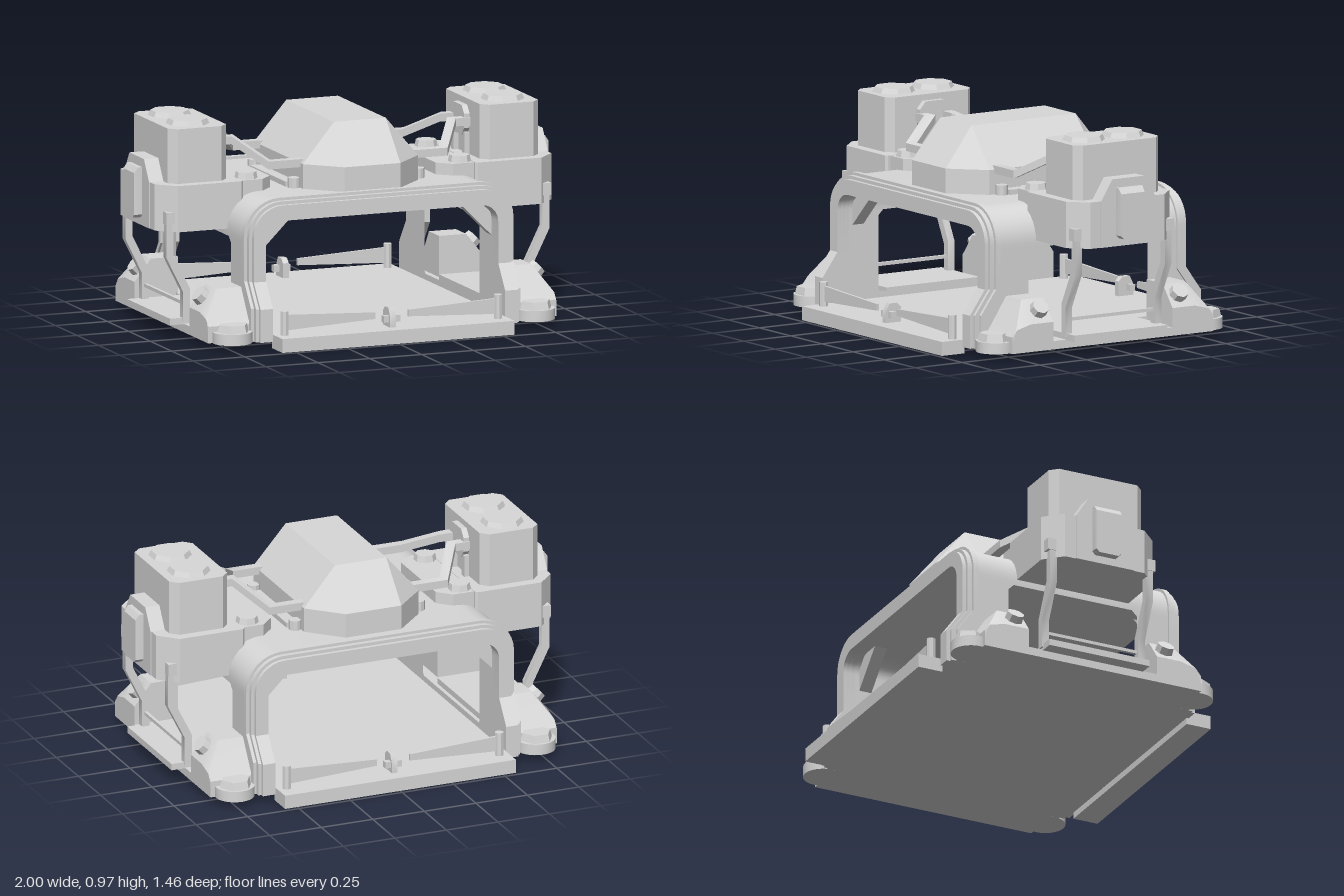
import * as THREE from 'three';
import { toCreasedNormals } from 'three/addons/utils/BufferGeometryUtils.js';

const grey = new THREE.MeshStandardMaterial({ color: 0xd8d8d8 });
grey.name = 'plain grey';

// Box given by its limits
function box(x0, x1, y0, y1, z0, z1) {
  return new THREE.BoxGeometry(x1 - x0, y1 - y0, z1 - z0)
    .translate((x0 + x1) / 2, (y0 + y1) / 2, (z0 + z1) / 2);
}

function extrude(points, depth, hole) {
  const v = (p) => new THREE.Vector2(p[0], p[1]);
  const shape = new THREE.Shape(points.map(v));
  if (hole) shape.holes.push(new THREE.Path(hole.map(v)));
  return new THREE.ExtrudeGeometry(shape, { depth, bevelEnabled: false });
}
// Prisms along z (x,y points), along x (z,y points) and along y (x,z points)
const prismZ = (pts, z0, z1) => extrude(pts, z1 - z0).translate(0, 0, z0);
const flip = (pts) => pts && pts.map(([z, y]) => [-z, y]);
const prismX = (pts, x0, x1, hole) =>
  extrude(flip(pts), x1 - x0, flip(hole)).rotateY(Math.PI / 2).translate(x0, 0, 0);
const prismY = (pts, y0, y1) => extrude(pts, y1 - y0).rotateX(Math.PI / 2).translate(0, y1, 0);

// Rectangle in x,z with cut corners
function cutRect(x0, x1, z, cIn, cOut) {
  return [[x0 + cIn, -z], [x1 - cOut, -z], [x1, -z + cOut], [x1, z - cOut],
    [x1 - cOut, z], [x0 + cIn, z], [x0, z - cIn], [x0, -z + cIn]];
}

// Skin over a row of equal closed sections, with both ends capped
function loft(sections) {
  const n = sections[0].length, index = [], last = (sections.length - 1) * n;
  for (let i = 0; i < sections.length - 1; i++) {
    for (let j = 0; j < n; j++) {
      const a = i * n + j, b = i * n + (j + 1) % n;
      index.push(a, b, a + n, b, b + n, a + n);
    }
  }
  for (let j = 1; j < n - 1; j++) {
    index.push(0, j + 1, j, last, last + j, last + j + 1);
  }
  const g = new THREE.BufferGeometry();
  g.setAttribute('position', new THREE.Float32BufferAttribute(sections.flat(2), 3));
  g.setIndex(index);
  return g;
}

// Arch line from the foot at +x over the crown to the foot at -x
function archLine(w, h, r, feet) {
  const half = feet.map((y) => [w, y]);
  for (let i = 0; i <= 8; i++) {
    const a = (i / 8) * Math.PI / 2;
    half.push([w - r + r * Math.cos(a), h - r + r * Math.sin(a)]);
  }
  return [...half, ...half.slice().reverse().map(([x, y]) => [-x, y])];
}

// Feet of the arch splay outward in z
const splay = (y) => 0.08 * THREE.MathUtils.clamp((0.29 - y) / 0.11, 0, 1);

function arch(w, h, z0, z1, feet) {
  const outer = archLine(w, h, w - 0.48, feet), inner = archLine(0.56, 0.56, 0.08, feet);
  return loft(outer.map(([x, y], i) => {
    const [u, v] = inner[i], s = splay(y);
    return [[x, y, z0 + s], [u, v, z0 + s], [u, v, z1 + s], [x, y, z1 + s]];
  }));
}

// Mirror copy with the corner order kept facing outward
function mirrored(geo, sx, sz) {
  const g = geo.clone().scale(sx, 1, sz);
  if (sx * sz < 0) {
    for (const name of ['position', 'normal']) {
      const a = g.attributes[name].array;
      for (let i = 0; i < a.length; i += 9) {
        for (let k = 0; k < 3; k++) [a[i + 3 + k], a[i + 6 + k]] = [a[i + 6 + k], a[i + 3 + k]];
      }
    }
  }
  return g;
}

export function createModel() {
  const model = new THREE.Group();
  // axes: '' once, 'x' left and right, 'z' front and back, 'xz' all four
  const add = (name, geo, axes = '') => {
    const g = toCreasedNormals(geo, 0.5);
    for (const sx of axes.includes('x') ? [1, -1] : [1]) {
      for (const sz of axes.includes('z') ? [1, -1] : [1]) {
        const mesh = new THREE.Mesh(mirrored(g, sx, sz), grey);
        mesh.name = name;
        model.add(mesh);
      }
    }
  };
  const bolt = (r, h, sides) => new THREE.CylinderGeometry(r * 0.88, r, h, sides, 1);

  // Floor with deeper end sills and barriers
  add('floorPlate', prismX([[-0.73, 0], [-0.61, 0], [-0.61, 0.03], [0.61, 0.03],
    [0.61, 0], [0.73, 0], [0.73, 0.063], [-0.73, 0.063]], -0.56, 0.56));
  add('barrierPost', new THREE.CylinderGeometry(0.02, 0.02, 0.11, 8).translate(0.515, 0.117, 0.645), 'xz');
  add('barrierArm', prismZ([[0.08, 0.105], [0.5, 0.085], [0.5, 0.155], [0.08, 0.135]], 0.64, 0.652), 'xz');
  add('latchBase', box(-0.04, 0.04, 0.085, 0.115, 0.628, 0.655), 'z');
  add('latch', prismX([[0.585, 0.06], [0.665, 0.06], [0.665, 0.11], [0.645, 0.15], [0.605, 0.15], [0.585, 0.13]],
    -0.014, 0.014), 'z');

  // Tunnel roof, side walls and stepped end frames
  add('tunnelRoof', arch(0.64, 0.645, -0.48, 0.48, [0.46]));
  add('sideWall', prismX(
    [[-0.48, 0.465], [-0.48, 0.29], [-0.56, 0.18], [-0.56, 0.03], [0.56, 0.03], [0.56, 0.18], [0.48, 0.29], [0.48, 0.465]],
    0.56, 0.64,
    [[-0.32, 0.1], [-0.31, 0.09], [0.31, 0.09], [0.32, 0.1], [0.32, 0.435], [0.295, 0.46], [-0.295, 0.46], [-0.32, 0.435]]), 'x');
  const feet = [0.03, 0.18, 0.29];
  add('endFrameOuter', arch(0.65, 0.658, 0.475, 0.5, feet), 'z');
  add('endFrameMiddle', arch(0.635, 0.645, 0.5, 0.522, feet), 'z');
  add('endFrameInner', arch(0.62, 0.63, 0.522, 0.54, feet), 'z');
  add('cornerGusset', prismZ([[0.4, 0.565], [0.565, 0.4], [0.565, 0.5], [0.5, 0.565]], 0.4, 0.46), 'xz');

  // Side bases with round feet and sloped blocks
  add('sideBase', box(0.56, 0.84, 0.03, 0.068, -0.54, 0.54), 'x');
  add('footPad', new THREE.CylinderGeometry(0.09, 0.09, 0.05, 28).translate(0.73, 0.055, 0.555), 'xz');
  add('footBolt', bolt(0.075, 0.035, 6).rotateY(Math.PI / 6).translate(0.73, 0.0975, 0.565), 'xz');
  // Block whose outer shoulder and end face both slope down to the base
  const blockSection = (z, yTop, yOut, xTop) =>
    [[0.63, 0.05, z], [0.84, 0.05, z], [0.84, yOut, z], [xTop, yTop, z], [0.63, yTop, z]];
  add('slopedBlock', loft([
    blockSection(0.32, 0.255, 0.155, 0.76), blockSection(0.44, 0.255, 0.155, 0.76),
    blockSection(0.515, 0.14, 0.135, 0.835), blockSection(0.54, 0.105, 0.1, 0.839)]), 'xz');
  add('slopeBolt', bolt(0.045, 0.05, 8).rotateZ(-0.84).translate(0.803, 0.213, 0.375), 'xz');
  add('stepSlab', box(0.6, 0.905, 0.065, 0.095, -0.25, 0.25), 'x');

  // Bent struts below the housings
  add('strut', prismZ([[0.89, 0.58], [0.89, 0.385], [0.81, 0.225], [0.81, 0.08],
    [0.845, 0.08], [0.845, 0.215], [0.925, 0.375], [0.925, 0.58]], 0.222, 0.257), 'xz');
  add('strutClamp', box(0.885, 0.928, 0.525, 0.58, 0.212, 0.268), 'xz');
  add('strutRod', box(0.82, 0.835, 0.15, 0.165, -0.23, 0.23), 'x');

  // Side housings, tanks and caps
  add('housing', prismY(cutRect(0.56, 0.957, 0.278, 0.01, 0.08), 0.49, 0.7), 'x');
  add('outerPanel', prismX([[-0.145, 0.49], [0.145, 0.49], [0.145, 0.7], [0.085, 0.795], [-0.085, 0.795], [-0.145, 0.7]],
    0.87, 0.962), 'x');
  add('sideHandle', loft([[0.95, 0.065, 0.755], [0.982, 0.065, 0.755], [1, 0.062, 0.73]].map(([x, z, top]) =>
    [[x, 0.54, z], [x, 0.525, z - 0.015], [x, 0.525, 0.015 - z], [x, 0.54, -z], [x, top, -z], [x, top, z]])), 'x');
  add('tank', prismY(cutRect(0.612, 0.893, 0.23, 0.035, 0.035), 0.69, 0.948), 'x');
  add('tankCap', bolt(0.098, 0.024, 8).rotateY(Math.PI / 8).translate(0.76, 0.959, 0.105), 'xz');
  add('mountPlate', prismY(cutRect(0.4, 0.66, 0.255, 0.06, 0.01), 0.6, 0.698), 'x');
  add('mountBolt', bolt(0.052, 0.03, 8).rotateY(Math.PI / 8).translate(0.515, 0.712, 0.195), 'xz');

  // Faceted central hood
  const ring = (x, z, xc, zc, y) => [[xc, y, z], [x, y, zc], [x, y, -zc], [xc, y, -z],
    [-xc, y, -z], [-x, y, -zc], [-x, y, zc], [-xc, y, z]];
  add('hood', loft([ring(0.278, 0.425, 0.135, 0.285, 0.62), ring(0.278, 0.425, 0.135, 0.285, 0.757),
    ring(0.125, 0.28, 0.124, 0.279, 0.937)]));
  add('hoodSkirt', box(-0.33, 0.33, 0.63, 0.668, -0.21, 0.21));
  add('hoodLug', new THREE.CylinderGeometry(0.028, 0.028, 0.05, 10).translate(0.3, 0.665, 0.235), 'xz');

  // Flat bent pipes from hood to tanks: x, y, z and the mitre offset in x
  add('pipe', loft([[0.26, 0.757, 0.237, 0], [0.42, 0.757, 0.237, 0.012],
    [0.53, 0.85, 0.065, 0.012], [0.62, 0.85, 0.065, 0]].map(([x, y, z, m]) =>
    [[x + m, y - 0.018, z + 0.022], [x - m, y - 0.018, z - 0.022],
      [x - m, y + 0.018, z - 0.022], [x + m, y + 0.018, z + 0.022]])), 'xz');
  add('pipeFlange', prismX([[-0.08, 0.82], [-0.05, 0.785], [0.05, 0.785], [0.08, 0.82],
    [0.08, 0.885], [0.05, 0.92], [-0.05, 0.92], [-0.08, 0.885]], 0.585, 0.615), 'x');
  add('flangeLeg', box(0.588, 0.612, 0.69, 0.8, 0.05, 0.08), 'xz');

  return model;
}
